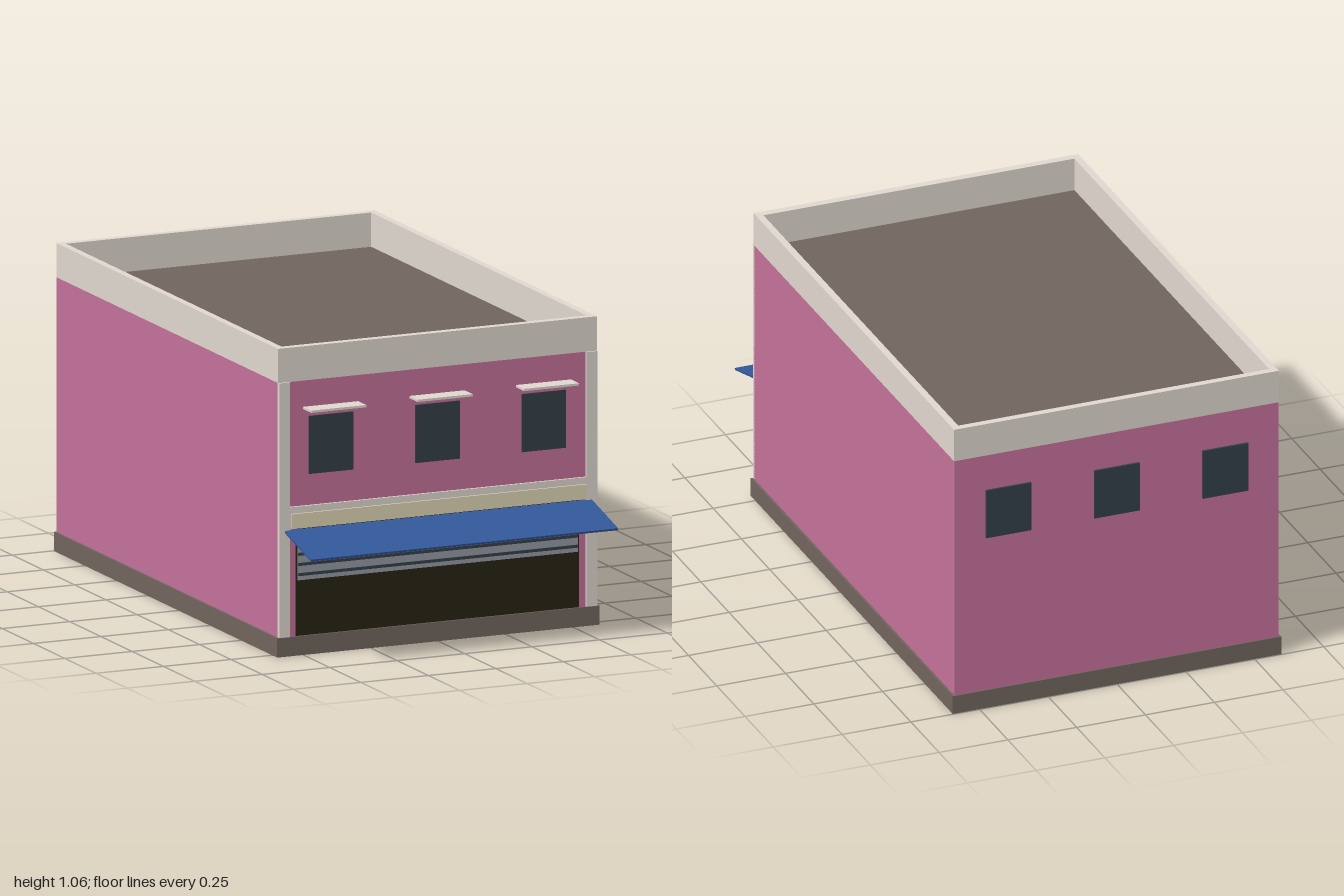
import * as THREE from 'three';

const paint = (name, color, side = THREE.FrontSide) => {
  const m = new THREE.MeshStandardMaterial({ color, side });
  m.name = name;
  return m;
};

export function createModel() {
  const pink = paint('pink wall', 0xc4719a);
  const cream = paint('cream trim', 0xe0d7cf);
  const brown = paint('brown stone', 0x71655d, THREE.DoubleSide);
  const glass = paint('dark glass', 0x334048);
  const blue = paint('blue awning', 0x33589a);
  const sign = paint('sign board', 0xdfd6b8);
  const steel = paint('shutter steel', 0x959aa3);
  const dark = paint('dark opening', 0x272412);

  const group = new THREE.Group();
  group.name = 'shopBuilding';

  const add = (name, geometry, material) => {
    const mesh = new THREE.Mesh(geometry, material);
    mesh.name = name;
    group.add(mesh);
    return mesh;
  };
  // Box given by its extents on each axis
  const block = (name, material, [x0, x1], [y0, y1], [z0, z1]) => {
    const mesh = add(name, new THREE.BoxGeometry(x1 - x0, y1 - y0, z1 - z0), material);
    mesh.position.set((x0 + x1) / 2, (y0 + y1) / 2, (z0 + z1) / 2);
    return mesh;
  };
  // Keep only some faces of a box (order: +x, -x, +y, -y, +z, -z)
  const keepFaces = (mesh, faces) => {
    const index = Array.from(mesh.geometry.index.array);
    mesh.geometry.setIndex(faces.flatMap((f) => index.slice(f * 6, f * 6 + 6)));
    mesh.geometry.clearGroups();
  };

  const W = 0.589, FRONT = 0.78, BACK = -0.992;
  const BASE = 0.066, EAVE = 0.944, TOP = 1.062;

  // Plinth, hollow underneath
  keepFaces(block('plinth', brown, [-0.597, 0.597], [0, BASE], [-0.998, 0.79]), [0, 1, 2, 4, 5]);

  // Walls, open at top and bottom
  keepFaces(block('walls', pink, [-W, W], [BASE, EAVE], [BACK, FRONT]), [0, 1, 4, 5]);

  // Sunken roof inside the parapet
  const roof = add('roof', new THREE.PlaneGeometry(2 * W - 0.01, FRONT - BACK - 0.01).rotateX(-Math.PI / 2), brown);
  roof.position.set(0, EAVE, (FRONT + BACK) / 2);

  // Parapet ring
  const rect = (path, x, z0, z1) =>
    path.moveTo(-x, -z1).lineTo(x, -z1).lineTo(x, -z0).lineTo(-x, -z0).closePath();
  const ring = rect(new THREE.Shape(), W + 0.001, BACK - 0.001, FRONT + 0.003);
  ring.holes.push(rect(new THREE.Path(), 0.565, -0.968, 0.755));
  const parapet = add('parapet',
    new THREE.ExtrudeGeometry(ring, { depth: TOP - EAVE, bevelEnabled: false }).rotateX(-Math.PI / 2), cream);
  parapet.position.y = EAVE;

  // Front pilasters, floor band and sign board
  for (const s of [-1, 1]) {
    const x = [s * 0.549, s * W].sort((a, b) => a - b);
    block(s > 0 ? 'leftPilaster' : 'rightPilaster', cream, x, [BASE, EAVE], [FRONT - 0.005, 0.79]);
  }
  block('floorBand', cream, [-0.549, 0.549], [0.437, 0.513], [FRONT - 0.005, 0.789]);
  block('signBoard', sign, [-0.546, 0.546], [0.44, 0.49], [0.785, 0.796]);

  // Windows on both ends, with canopies on the front
  for (const x of [-0.394, 0, 0.394]) {
    const span = [x - 0.082, x + 0.082];
    block('frontWindow', glass, span, [0.62, 0.82], [FRONT - 0.002, FRONT + 0.004]);
    block('windowCanopy', cream, [x - 0.102, x + 0.102], [0.845, 0.853], [FRONT - 0.002, 0.845]);
    block('backWindow', glass, span, [0.637, 0.815], [-1, BACK + 0.001]);
  }

  // Shop opening with a half-raised shutter
  block('shopOpening', dark, [-0.524, 0.524], [BASE, 0.437], [FRONT - 0.003, FRONT + 0.003]);
  block('shutter', steel, [-0.518, 0.518], [0.258, 0.434], [FRONT, FRONT + 0.007]);
  for (let i = 0; i < 5; i++) {
    const y = 0.278 + i * 0.035;
    block('shutterGroove', glass, [-0.518, 0.518], [y - 0.005, y + 0.005], [FRONT, FRONT + 0.01]);
  }

  // Sloping awning
  const slope = Math.atan2(0.057, 0.214);
  const awning = add('awning', new THREE.BoxGeometry(1.138, 0.007, 0.221), blue);
  awning.rotation.x = slope;
  awning.position.set(0, 0.403, 0.8925);

  return group;
}
